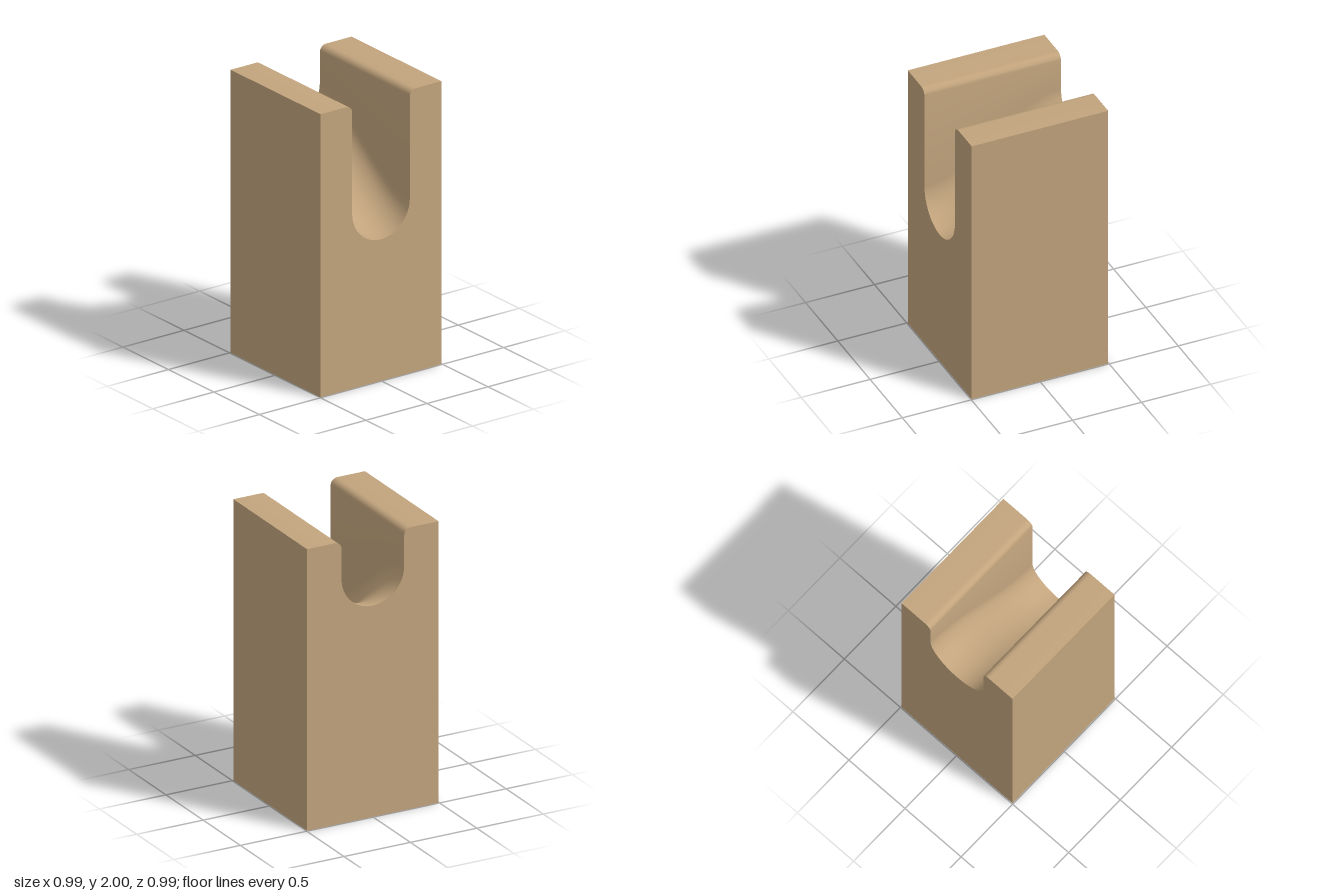
import * as THREE from 'three';
import { toCreasedNormals } from 'three/addons/utils/BufferGeometryUtils.js';

const HALF = 0.495;     // half width and depth of the block
const HEIGHT = 2;
const RADIUS = 0.236;   // half width of the channel
const FILLET = 0.05;    // rounding of the channel's upper edges
const STEPS = 40;       // stations along x

// Channel floor: flat at both ends, with an S-shaped drop towards +x
const floorHeight = (x) => 1.5 - 0.5 * THREE.MathUtils.smoothstep(x, -HALF, HALF);

function arc(points, cu, cy, r, from, to, n) {
  for (let i = 0; i <= n; i++) {
    const a = from + (to - from) * i / n;
    points.push(new THREE.Vector2(cu + r * Math.cos(a), cy + r * Math.sin(a)));
  }
}

// U-shaped cross-section at x, counter-clockwise seen from +x (u = -z)
function section(x) {
  const p = [new THREE.Vector2(-HALF, 0), new THREE.Vector2(HALF, 0), new THREE.Vector2(HALF, HEIGHT)];
  const lip = RADIUS + FILLET;
  arc(p, lip, HEIGHT - FILLET, FILLET, Math.PI / 2, Math.PI, 8);
  arc(p, 0, floorHeight(x) + RADIUS, RADIUS, 0, -Math.PI, 36);
  arc(p, -lip, HEIGHT - FILLET, FILLET, 0, Math.PI / 2, 8);
  p.push(new THREE.Vector2(-HALF, HEIGHT));
  return p;
}

function blockGeometry() {
  const positions = [];
  const put = (x, p) => positions.push(x, p.y, -p.x);

  // Skin between neighbouring sections
  for (let i = 0; i < STEPS; i++) {
    const x0 = -HALF + 2 * HALF * i / STEPS;
    const x1 = -HALF + 2 * HALF * (i + 1) / STEPS;
    const s0 = section(x0), s1 = section(x1);
    for (let j = 0; j < s0.length; j++) {
      const k = (j + 1) % s0.length;
      put(x0, s0[j]); put(x0, s0[k]); put(x1, s1[k]);
      put(x0, s0[j]); put(x1, s1[k]); put(x1, s1[j]);
    }
  }

  // End faces
  for (const side of [-1, 1]) {
    const s = section(side * HALF);
    for (const [a, b, c] of THREE.ShapeUtils.triangulateShape(s, [])) {
      const order = side > 0 ? [a, b, c] : [a, c, b];
      order.forEach((i) => put(side * HALF, s[i]));
    }
  }

  const geometry = new THREE.BufferGeometry();
  geometry.setAttribute('position', new THREE.Float32BufferAttribute(positions, 3));
  return toCreasedNormals(geometry, 0.6);
}

export function createModel() {
  const tan = new THREE.MeshStandardMaterial({ color: 0xc2a47d });
  tan.name = 'tan';
  const block = new THREE.Mesh(blockGeometry(), tan);
  block.name = 'channelBlock';
  const model = new THREE.Group();
  model.name = 'slopedChannelBlock';
  model.add(block);
  return model;
}
